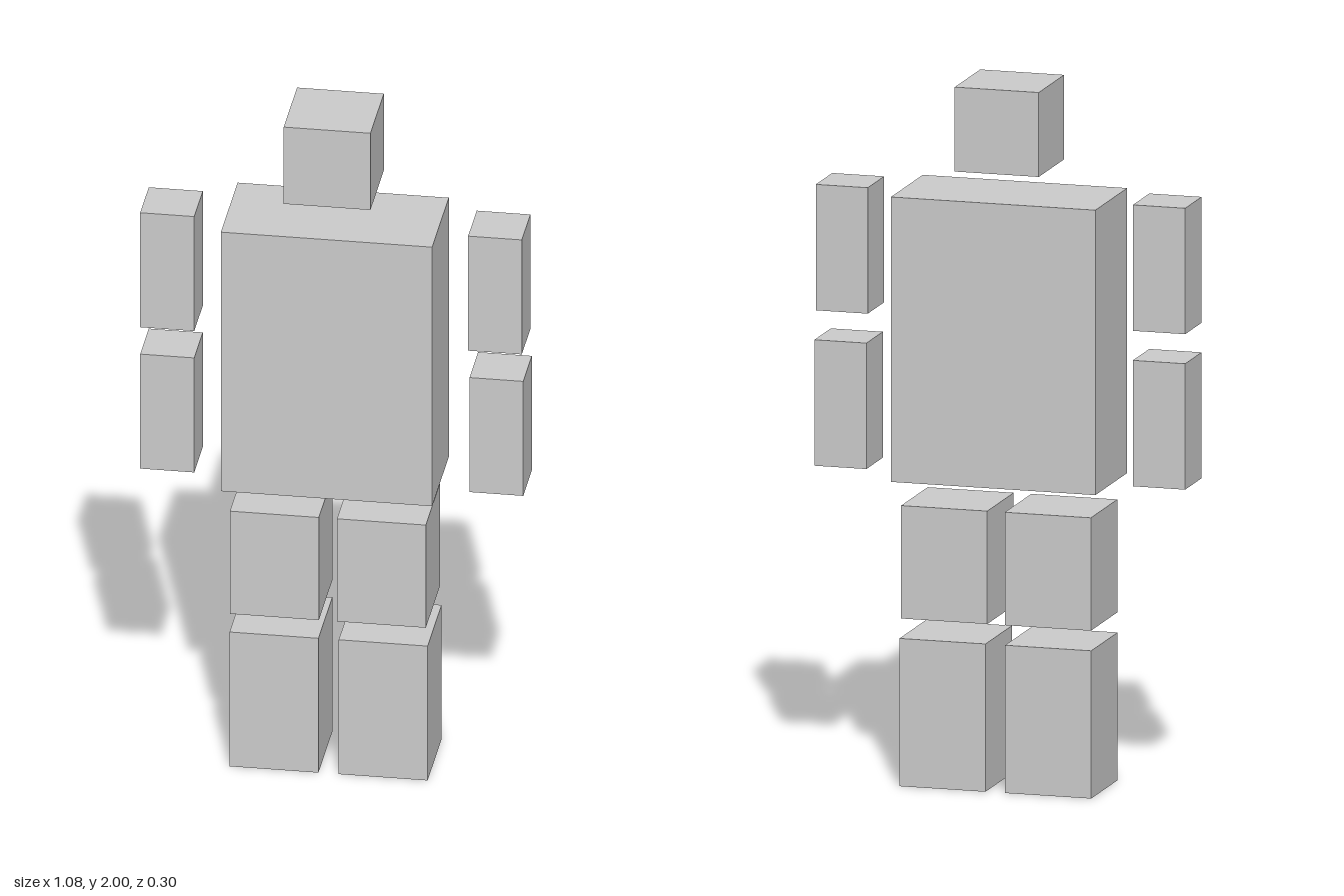
import * as THREE from 'three';

export function createModel() {
  const model = new THREE.Group();
  model.name = 'blockFigure';
  const material = new THREE.MeshStandardMaterial({ color: 0xcccccc, flatShading: true });

  // Block given by its extents along each axis
  function block(name, [x0, x1], [y0, y1], [z0, z1]) {
    const mesh = new THREE.Mesh(new THREE.BoxGeometry(x1 - x0, y1 - y0, z1 - z0), material);
    mesh.position.set((x0 + x1) / 2, (y0 + y1) / 2, (z0 + z1) / 2);
    mesh.name = name;
    model.add(mesh);
  }

  // Head and body
  block('head', [-0.132, 0.112], [1.76, 2], [-0.135, 0.107]);
  block('torso', [-0.302, 0.292], [0.87, 1.68], [-0.153, 0.15]);

  // Arms: separate upper and lower blocks, the left pair slightly offset
  const armZ = [-0.078, 0.078];
  const upperArmY = [1.327, 1.685], lowerArmY = [0.885, 1.243];
  block('rightUpperArm', [-0.54, -0.388], upperArmY, armZ);
  block('rightLowerArm', [-0.54, -0.388], lowerArmY, armZ);
  block('leftUpperArm', [0.382, 0.533], upperArmY, armZ);
  block('leftLowerArm', [0.386, 0.537], lowerArmY, armZ);

  // Legs: thighs above taller shins
  const legZ = [-0.124, 0.128];
  const thighY = [0.477, 0.798], shinY = [0, 0.42];
  block('rightThigh', [-0.28, -0.03], thighY, legZ);
  block('rightShin', [-0.281, -0.031], shinY, legZ);
  block('leftThigh', [0.021, 0.271], thighY, legZ);
  block('leftShin', [0.026, 0.276], shinY, legZ);

  return model;
}
